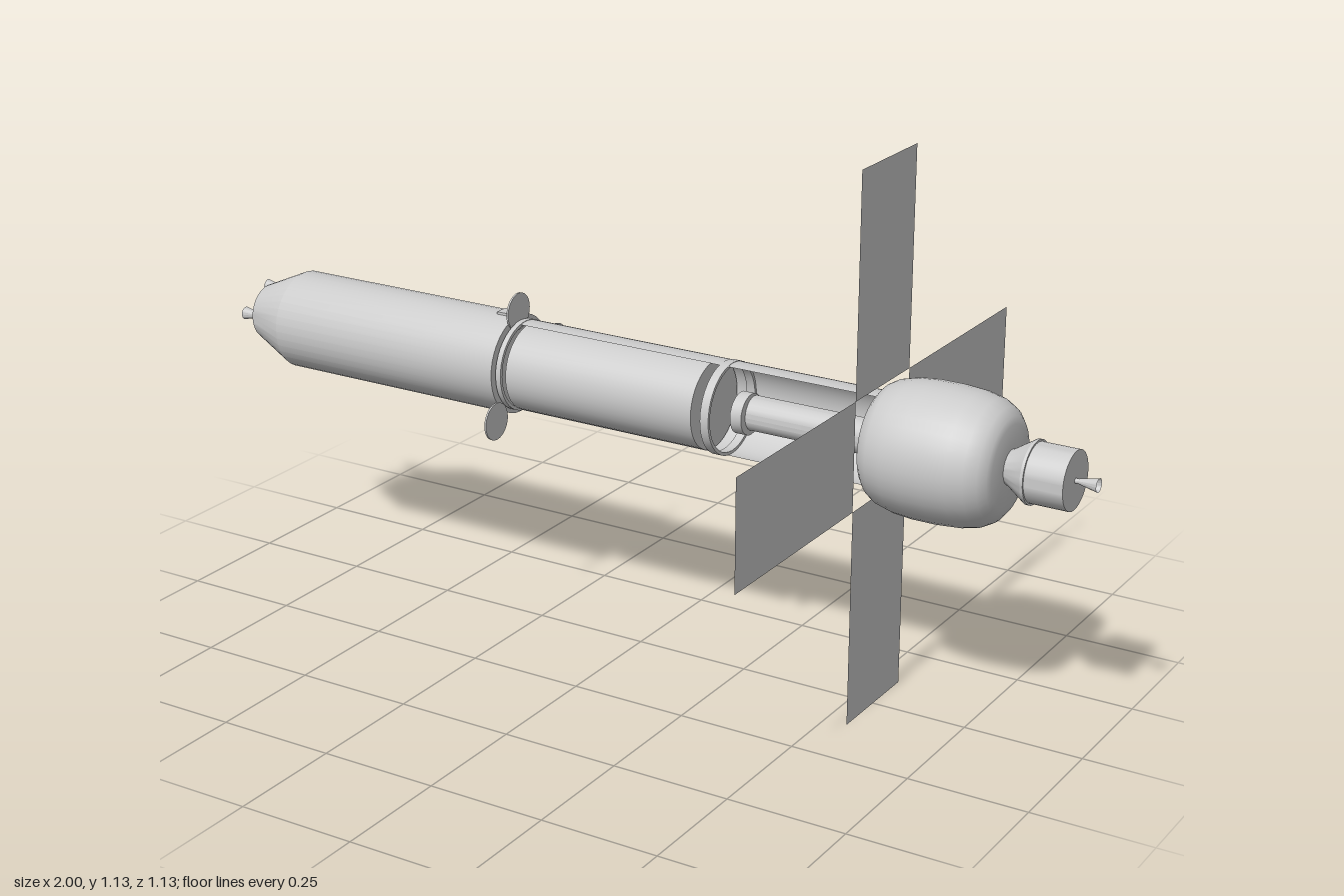
import * as THREE from 'three';
import { toCreasedNormals } from 'three/addons/utils/BufferGeometryUtils.js';

const SEG = 40;

export function createModel() {
  const model = new THREE.Group();
  const ship = new THREE.Group();
  ship.name = 'spaceship';
  ship.position.y = 0.566; // long axis runs along x at this height
  model.add(ship);

  const grey = new THREE.MeshStandardMaterial({ color: 0xcccccc });
  const thin = new THREE.MeshStandardMaterial({ color: 0xcccccc, side: THREE.DoubleSide });

  function add(name, geometry, material = grey, x = 0, y = 0, z = 0) {
    const mesh = new THREE.Mesh(geometry, material);
    mesh.name = name;
    mesh.position.set(x, y, z);
    ship.add(mesh);
    return mesh;
  }

  // Body of revolution about x from [x, radius] pairs
  function turned(profile, segments = SEG) {
    const points = profile.map(([x, r]) => new THREE.Vector2(r, x));
    const g = new THREE.LatheGeometry(points, segments).rotateZ(-Math.PI / 2);
    return toCreasedNormals(g, 0.42);
  }

  // Rear hull with tapered, recessed engine bay
  add('rearHull', turned([
    [-0.925, 0], [-0.925, 0.057], [-0.965, 0.06], [-0.862, 0.106], [-0.297, 0.106], [-0.297, 0],
  ]));
  add('hullRidge', new THREE.BoxGeometry(0.045, 0.012, 0.03), grey, -0.32, 0.104, 0);

  // Three rear engines
  [[0.042, -0.04], [-0.042, -0.04], [0, 0.04]].forEach(([y, z]) => {
    add('rearEngine', turned([
      [-1, 0.014], [-0.965, 0.006], [-0.925, 0.006],
    ], 16), thin, 0, y, z);
  });

  // Closed middle hull
  add('middleHull', turned([[-0.27, 0], [-0.27, 0.093], [0.173, 0.093], [0.173, 0]]));

  // Outer shell left open towards the front
  const shell = new THREE.CylinderGeometry(0.096, 0.096, 0.845, 32, 1, true, 1.36, 2 * Math.PI - 2.72);
  add('openShell', shell.rotateZ(-Math.PI / 2), thin, 0.1255);

  // Hoops in the gaps beside the middle hull
  [[-0.292, -0.28], [0.197, 0.216]].forEach(([a, b]) => {
    add('hoop', turned([[a, 0.09], [a, 0.097], [b, 0.097], [b, 0.09], [a, 0.09]]));
  });

  // Docking tube inside the open shell
  add('innerTube', turned([[0.26, 0], [0.26, 0.036], [0.56, 0.036], [0.56, 0]], 24));
  add('tubeCollar', turned([[0.24, 0], [0.24, 0.043], [0.265, 0.043], [0.265, 0]], 24), grey, 0, 0, 0.01);

  // Round crew module
  add('crewModule', turned([
    [0.548, 0], [0.548, 0.103], [0.558, 0.115], [0.575, 0.125], [0.61, 0.134], [0.65, 0.1375],
    [0.7, 0.1375], [0.745, 0.134], [0.78, 0.126], [0.803, 0.113], [0.816, 0.097], [0.82, 0.083],
    [0.822, 0.04], [0.822, 0],
  ]));

  // Nose pod with flared collar and small thruster
  add('nosePod', turned([
    [0.81, 0], [0.81, 0.033], [0.825, 0.036], [0.868, 0.064], [0.874, 0.064], [0.874, 0.06],
    [0.953, 0.06], [0.953, 0],
  ]));
  add('noseThruster', turned([[0.945, 0.005], [0.96, 0.005], [1, 0.014]], 16), thin);

  // Cross of four solar panels
  for (let i = 0; i < 4; i++) {
    const panel = new THREE.PlaneGeometry(0.226, 0.453).rotateY(Math.PI / 2).translate(0, 0.3395, 0);
    add('solarPanel', panel, thin, 0.548).rotation.x = i * Math.PI / 2;
  }

  // Three antenna dishes around the hull joint
  [[0.116, 0.005], [-0.1, 0.092], [0.01, -0.133]].forEach(([y, z]) => {
    add('antennaDish', turned([
      [-0.298, 0], [-0.298, 0.04], [-0.294, 0.04], [-0.294, 0],
    ], 32), grey, 0, y, z);
  });

  return model;
}
